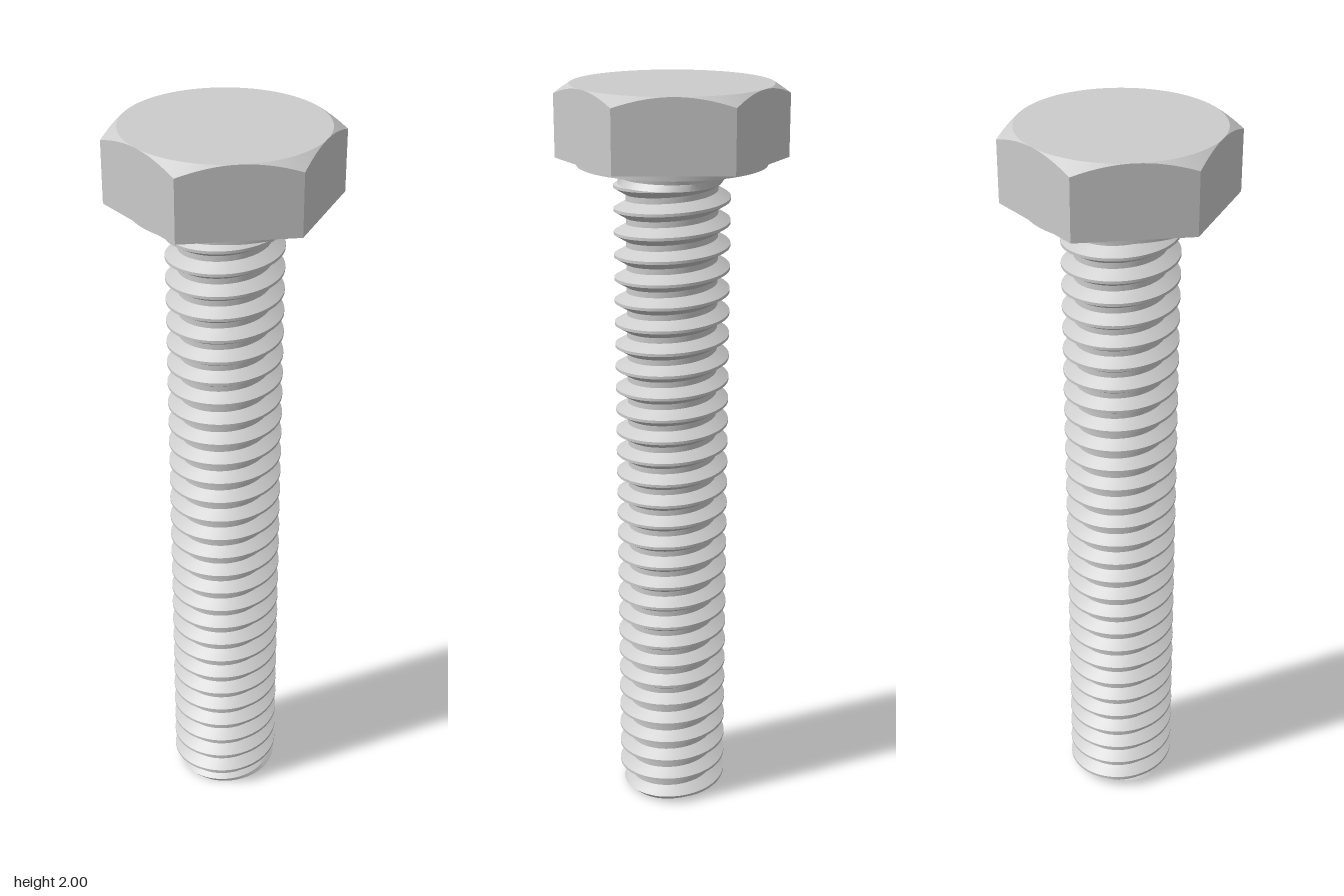
import * as THREE from 'three';
import { toCreasedNormals } from 'three/addons/utils/BufferGeometryUtils.js';

const PITCH = 0.06, MAJOR = 0.15, MINOR = 0.1185;
const SHANK_TOP = 1.8, THREAD_END = 1.755;
const HEX_BASE = 1.815, APOTHEM = 0.2565;

// Skin a closed surface: column(angle) lists [radius, y] from bottom to top.
function skin(column, segments, crease) {
  const positions = [], index = [];
  let rows = 0;
  for (let j = 0; j <= segments; j++) {
    const a = (j / segments) * Math.PI * 2;
    const points = column(a);
    rows = points.length;
    for (const [r, y] of points) positions.push(r * Math.cos(a), y, -r * Math.sin(a));
  }
  for (let j = 0; j < segments; j++) {
    for (let i = 0; i < rows - 1; i++) {
      const a = j * rows + i, b = a + rows;
      index.push(a, b, b + 1, a, b + 1, a + 1);
    }
  }
  const geometry = new THREE.BufferGeometry();
  geometry.setAttribute('position', new THREE.Float32BufferAttribute(positions, 3));
  geometry.setIndex(index);
  return toCreasedNormals(geometry, crease);
}

// Radius of the thread at a height, for a given helix phase (crest at 0).
function threadRadius(y, phase) {
  let t = (y / PITCH - phase) % 1;
  if (t < 0) t += 1;
  const d = Math.min(t, 1 - t);
  const k = THREE.MathUtils.clamp((d - 0.0625) / 0.3125, 0, 1);
  const r = THREE.MathUtils.lerp(MAJOR, MINOR, k);
  return Math.min(r, 0.13 + y); // chamfered tip
}

// One lengthwise line of the shank: tip, thread, neck and fillet.
function shankColumn(a) {
  const phase = a / (Math.PI * 2) + 0.07;
  const steps = [-0.0625, 0.0625, 0.22, 0.375, 0.625, 0.78];
  const points = [[0, 0]];
  for (let k = -2; k <= Math.ceil(THREAD_END / PITCH); k++) {
    for (const s of steps) {
      const y = THREE.MathUtils.clamp((k + s + phase) * PITCH, 0, THREAD_END);
      points.push([threadRadius(y, phase), y]);
    }
  }
  points.push([0.139, 1.771], [0.14, 1.78], [0.144, 1.79], [0.153, 1.798], [0.158, SHANK_TOP]);
  return points;
}

// One line of the hexagonal head: flat base, side, conical chamfer, flat top.
function headColumn(a) {
  const sector = Math.PI / 3;
  const r = APOTHEM / Math.cos((a % sector) - sector / 2);
  return [[0, HEX_BASE], [r, HEX_BASE], [r, 2 - (r - APOTHEM) * 0.65], [APOTHEM, 2], [0, 2]];
}

export function createModel() {
  const group = new THREE.Group();
  group.name = 'hexBolt';
  const material = new THREE.MeshStandardMaterial({ color: 0xcccccc });

  const add = (name, geometry) => {
    const mesh = new THREE.Mesh(geometry, material);
    mesh.name = name;
    group.add(mesh);
    return mesh;
  };

  add('threadedShank', skin(shankColumn, 72, 0.4));
  add('hexHead', skin(headColumn, 96, 0.4));

  // Round bearing face under the head
  const washerHeight = HEX_BASE - SHANK_TOP;
  add('washerFace', new THREE.CylinderGeometry(0.243, 0.243, washerHeight, 72))
    .position.y = SHANK_TOP + washerHeight / 2;

  return group;
}
